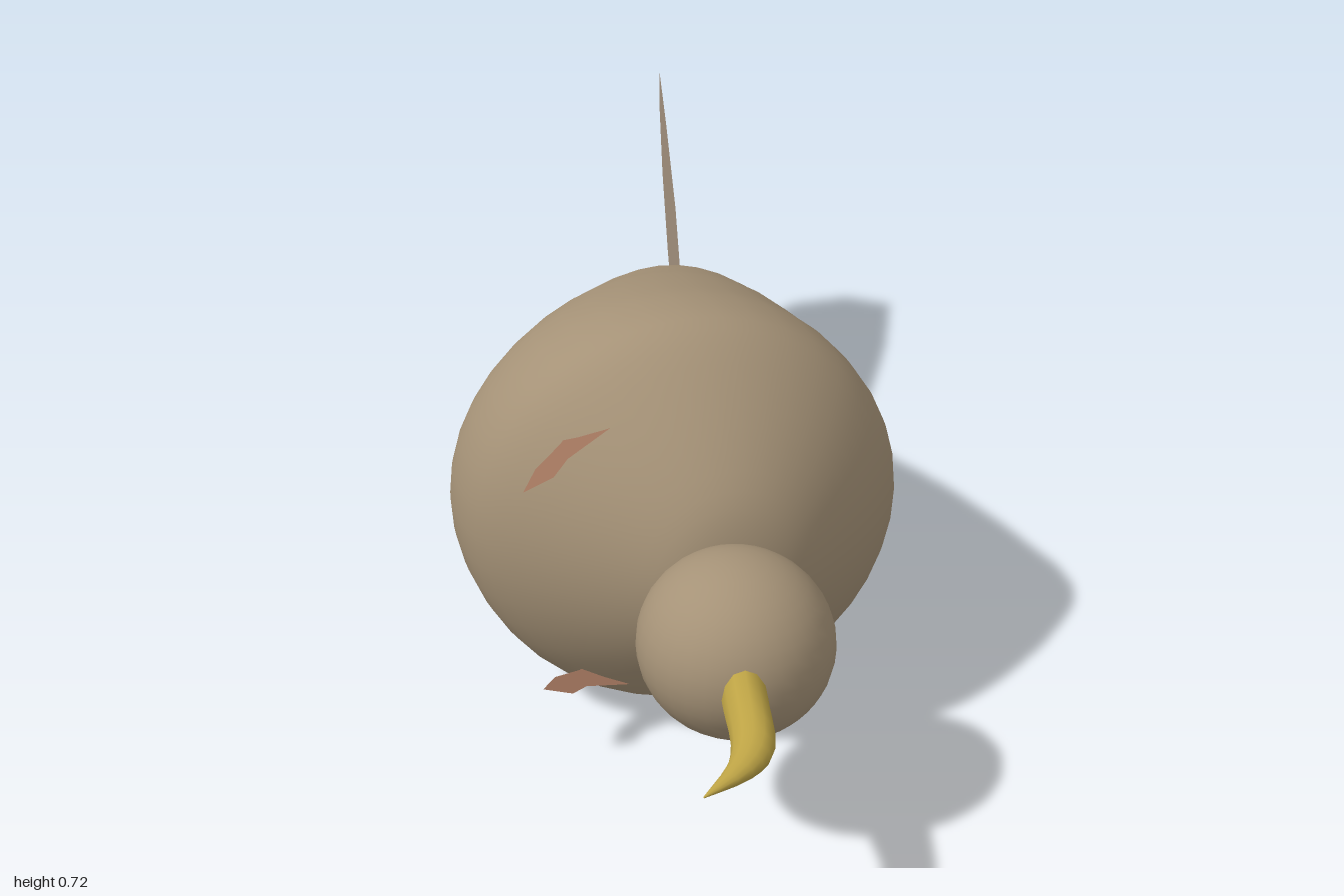
import * as THREE from 'three';

const plumage = new THREE.MeshStandardMaterial({ name: 'tan plumage', color: 0xa59277 });
const tailTan = new THREE.MeshStandardMaterial({ name: 'tail tan', color: 0xa59380, side: THREE.DoubleSide });
const gold = new THREE.MeshStandardMaterial({ name: 'beak gold', color: 0xbda345 });
const footBrown = new THREE.MeshStandardMaterial({ name: 'foot brown', color: 0x9c715a, side: THREE.DoubleSide });

const MID = 0.36; // height of the symmetry plane

// Skin closed rings, running towards +z, into one smooth surface
function loft(rows, sides, pointAt) {
  const pos = [], index = [];
  for (let i = 0; i < rows; i++) {
    for (let j = 0; j < sides; j++) {
      pos.push(...pointAt(i / (rows - 1), (j / sides) * Math.PI * 2));
      if (i === rows - 1) continue;
      const a = i * sides + j, b = i * sides + (j + 1) % sides;
      index.push(a, b, a + sides, b, b + sides, a + sides);
    }
  }
  const g = new THREE.BufferGeometry();
  g.setAttribute('position', new THREE.Float32BufferAttribute(pos, 3));
  g.setIndex(index);
  g.computeVertexNormals();
  return g;
}

// Flat plate from a 2D outline, placed in space by a rule
function plate(outline, place) {
  const g = new THREE.ShapeGeometry(new THREE.Shape(outline.map(p => new THREE.Vector2(...p))));
  const p = g.attributes.position;
  for (let i = 0; i < p.count; i++) p.setXYZ(i, ...place(p.getX(i), p.getY(i)));
  g.computeVertexNormals();
  return g;
}

const curve = pts => new THREE.CatmullRomCurve3(pts.map(p => new THREE.Vector3(...p)), false, 'catmullrom', 0.5);

export function createModel() {
  const group = new THREE.Group();
  const add = (name, geometry, material) => {
    const m = new THREE.Mesh(geometry, material);
    m.name = name;
    group.add(m);
    return m;
  };

  // Body sections: z, lowest x, highest x, half height, belly dent
  const sections = [
    [-0.522, 0.138, 0.142, 0.002, 0],
    [-0.5, 0.105, 0.175, 0.035, 0],
    [-0.39, 0.0, 0.217, 0.13, 0],
    [-0.2, -0.165, 0.28, 0.24, 0],
    [-0.09, -0.27, 0.312, 0.29, 0.025],
    [-0.04, -0.315, 0.328, 0.31, 0.01],
    [0.04, -0.362, 0.345, 0.335, 0],
    [0.14, -0.374, 0.364, 0.357, 0],
    [0.24, -0.345, 0.355, 0.352, 0],
    [0.35, -0.25, 0.275, 0.27, 0],
    [0.445, -0.14, 0.165, 0.165, 0],
    [0.482, -0.075, 0.085, 0.08, 0],
    [0.49, -0.002, 0.002, 0.002, 0],
  ];
  const plan = curve(sections.map(s => [s[1], s[2], s[0]]));
  const side = curve(sections.map(s => [s[3], s[4], 0]));
  add('body', loft(49, 40, (t, a) => {
    const p = plan.getPoint(t), q = side.getPoint(t);
    const c = Math.cos(a);
    const dent = q.y * Math.max(0, -c) ** 8;
    return [(p.x + p.y) / 2 + c * (p.y - p.x) / 2 + dent, MID + Math.sin(a) * q.x, p.z];
  }), plumage);

  // Head
  const head = add('head', new THREE.SphereGeometry(1, 32, 20), plumage);
  head.scale.set(0.158, 0.15, 0.165);
  head.position.set(-0.023, 0.358, 0.62);

  // Hooked beak: centre line, then half width and half height
  const beakLine = curve([[-0.045, 0.356, 0.74], [-0.055, 0.356, 0.8], [-0.072, 0.356, 0.9],
    [-0.108, 0.353, 0.955], [-0.176, 0.348, 1.0]]);
  const beakSize = curve([[0.036, 0.054, 0], [0.036, 0.048, 0], [0.034, 0.03, 0],
    [0.022, 0.017, 0], [0.001, 0.001, 0]]);
  add('beak', loft(13, 12, (t, a) => {
    const p = beakLine.getPoint(t), r = beakSize.getPoint(t);
    const c = Math.cos(a) * r.x, lean = t * 0.75;
    return [p.x + c * Math.cos(lean), p.y + Math.sin(a) * r.y, p.z + c * Math.sin(lean)];
  }), gold);

  // Tail fan: outline in z and y, leaning away from the body
  const tailHalf = [[-0.557, 0.15], [-0.73, 0.233], [-0.885, 0.276], [-0.965, 0.155]];
  const tailOutline = [[-0.5, 0.015], ...tailHalf, [-1, 0],
    ...tailHalf.map(([z, h]) => [z, -h]).reverse(), [-0.5, -0.015]];
  add('tail', plate(tailOutline, (z, h) => [0.178 + (-z - 0.5) * 0.18 - h * 0.055, 0.373 + h, z]), tailTan);

  // Feet: thin plates lying against the belly, outline in x and z
  const footOutline = [[-0.14, 0.32], [-0.19, 0.25], [-0.23, 0.3], [-0.28, 0.335],
    [-0.31, 0.38], [-0.26, 0.38], [-0.23, 0.35]];
  add('leftFoot', plate(footOutline, (x, z) => [x, 0.605 + (x + 0.14) * 0.42, z]), footBrown);
  add('rightFoot', plate(footOutline, (x, z) => [x + 0.027, 0.097 - (x + 0.14) * 0.33, z]), footBrown);

  return group;
}
